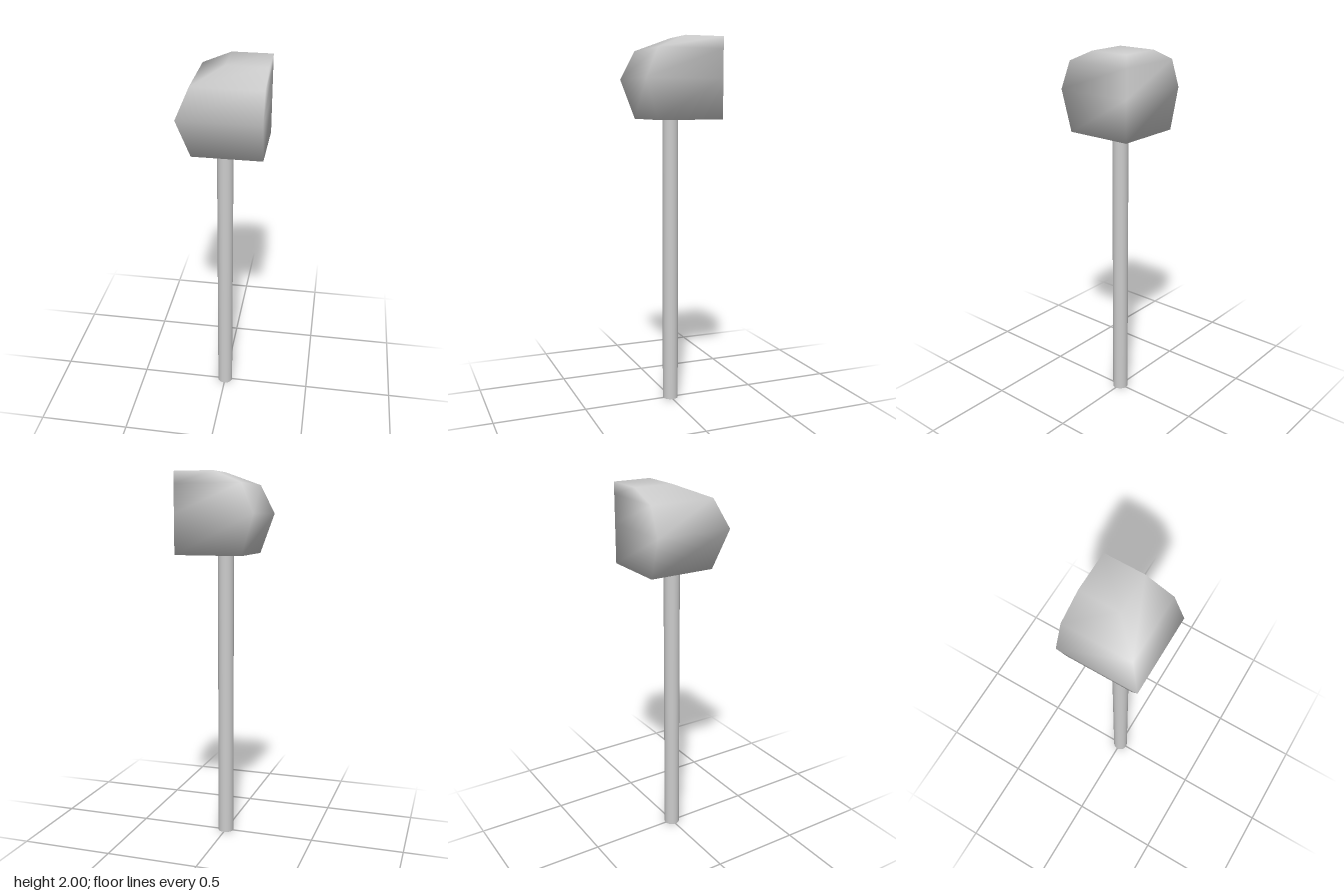
import * as THREE from 'three';

const R = 0.213;          // half width of the head
const HEAD_Y = 2 - R;     // height of the head centre

// Head: four-cornered rings, bevelled towards -x and +z, flat towards +x and -z
function headGeometry() {
  // [height, reach of the bevelled sides], in units of R, bottom to top
  const rings = [[-1, 0.707], [0, 1], [0.707, 0.707], [1, 0]];
  const positions = [];
  const index = [];
  for (const [y, w] of rings) {
    for (const [x, z] of [[-w, w], [1, w], [1, -1], [-w, -1]]) {
      positions.push(x * R, y * R, z * R);
    }
  }
  for (let r = 0; r < rings.length - 1; r++) {
    for (let i = 0; i < 4; i++) {
      const a = r * 4 + i;
      const b = r * 4 + (i + 1) % 4;
      index.push(a, b, b + 4, a, b + 4, a + 4);
    }
  }
  // Bottom and top caps
  const t = (rings.length - 1) * 4;
  index.push(0, 2, 1, 0, 3, 2, t, t + 1, t + 2, t, t + 2, t + 3);

  const geometry = new THREE.BufferGeometry();
  geometry.setAttribute('position', new THREE.Float32BufferAttribute(positions, 3));
  geometry.setIndex(index);
  geometry.computeVertexNormals();
  return geometry;
}

export function createModel() {
  const group = new THREE.Group();
  const material = new THREE.MeshStandardMaterial({ color: 0xcccccc });

  // Stick: slim round rod from the ground to the underside of the head
  const stickHeight = HEAD_Y - R;
  const stick = new THREE.Mesh(new THREE.CylinderGeometry(0.043, 0.043, stickHeight, 24), material);
  stick.name = 'stick';
  stick.position.y = stickHeight / 2;

  const head = new THREE.Mesh(headGeometry(), material);
  head.name = 'head';
  head.position.y = HEAD_Y;

  group.add(stick, head);
  return group;
}
